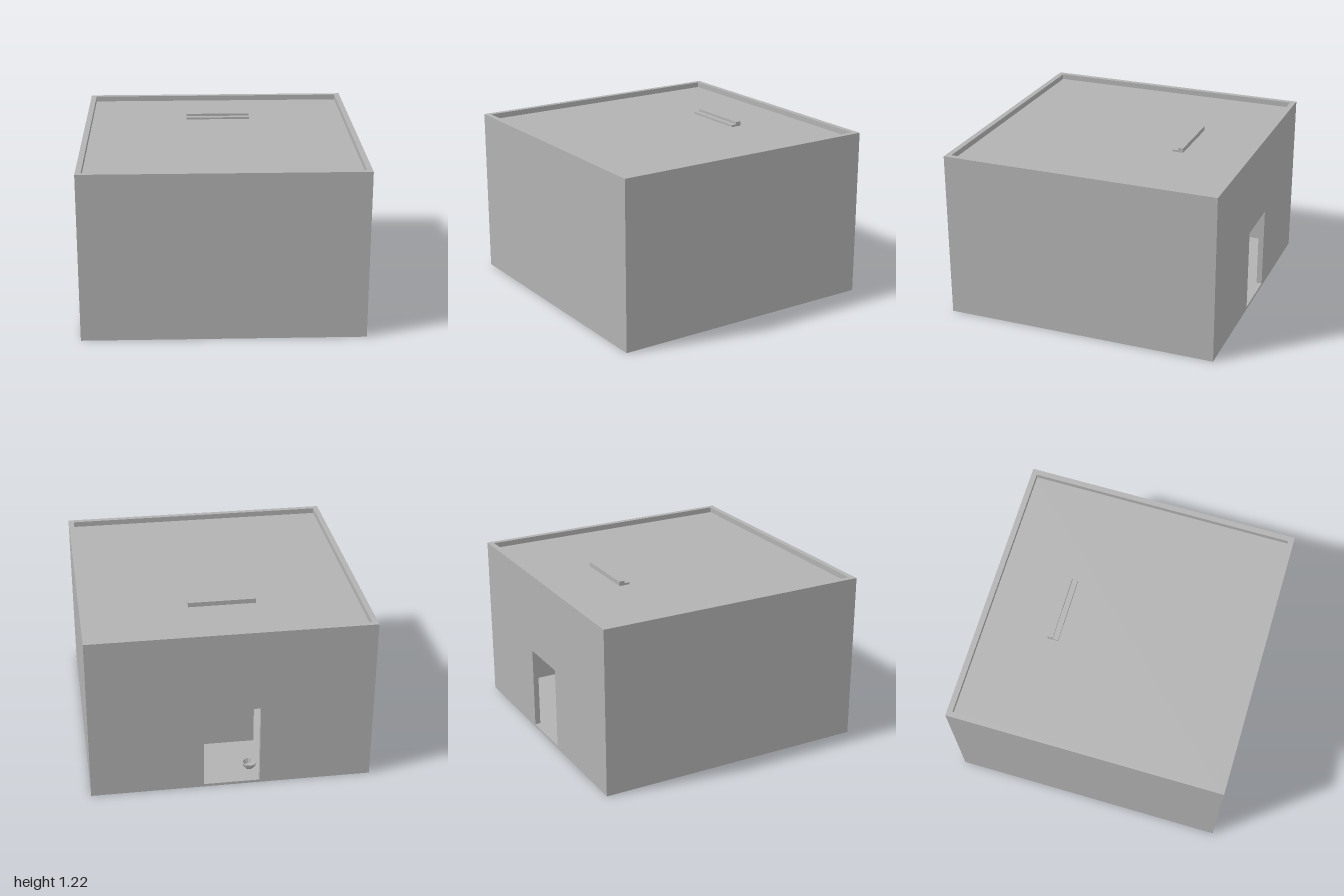
import * as THREE from 'three';

const HEIGHT = 1.22, WALL = 0.04, FLOOR = 0.02;

export function createModel() {
  const group = new THREE.Group();
  const grey = new THREE.MeshStandardMaterial({ color: 0xb2b2b2 });
  const bowlGrey = grey.clone();
  grey.name = 'plainGrey';
  bowlGrey.name = 'bowlGrey';
  bowlGrey.side = THREE.DoubleSide;
  bowlGrey.flatShading = true;

  const add = (name, geometry, x, y, z, material = grey) => {
    const mesh = new THREE.Mesh(geometry, material);
    mesh.name = name;
    mesh.position.set(x, y, z);
    group.add(mesh);
    return mesh;
  };
  // Box given by its x, y and z ranges
  const box = (name, [x0, x1], [y0, y1], [z0, z1]) =>
    add(name, new THREE.BoxGeometry(x1 - x0, y1 - y0, z1 - z0),
      (x0 + x1) / 2, (y0 + y1) / 2, (z0 + z1) / 2);

  const inner = 1 - WALL;
  const inside = [-inner, inner];

  // Floor and sunken roof slab between the walls
  box('floor', inside, [0, FLOOR], inside);
  box('roof', inside, [1.12, 1.18], inside);

  // Closed walls, rising above the roof as a parapet
  box('frontWall', [-1, 1], [0, HEIGHT], [inner, 1]);
  box('leftWall', [inner, 1], [0, HEIGHT], inside);
  box('rightWall', [-1, -inner], [0, HEIGHT], inside);

  // Back wall with the doorway, keeping a low sill
  const wall = new THREE.Shape([
    new THREE.Vector2(-1, 0), new THREE.Vector2(1, 0),
    new THREE.Vector2(1, HEIGHT), new THREE.Vector2(-1, HEIGHT),
  ]);
  wall.holes.push(new THREE.Path([
    new THREE.Vector2(-0.2, FLOOR), new THREE.Vector2(-0.2, 0.62),
    new THREE.Vector2(0.2, 0.62), new THREE.Vector2(0.2, FLOOR),
  ]));
  add('backWall', new THREE.ExtrudeGeometry(wall, { depth: WALL, bevelEnabled: false }), 0, 0, -1);

  // Stepped upright slab that passes through the roof
  box('tallSlab', [-0.24, 0.24], [FLOOR, 1.213], [-0.5, -0.46]);
  box('lowerSlab', [-0.24, 0.24], [FLOOR, 1.195], [-0.46, -0.42]);

  // Small bowls on the floor inside
  const profile = [[0, 0], [0.025, 0], [0.045, 0.02], [0.055, 0.05], [0.045, 0.05], [0.03, 0.02], [0, 0.012]]
    .map(([r, y]) => new THREE.Vector2(r, y));
  for (const [x, z] of [[0.61, -0.18], [-0.15, -0.84]]) {
    add('bowl', new THREE.LatheGeometry(profile, 10), x, FLOOR, z, bowlGrey);
  }

  return group;
}
